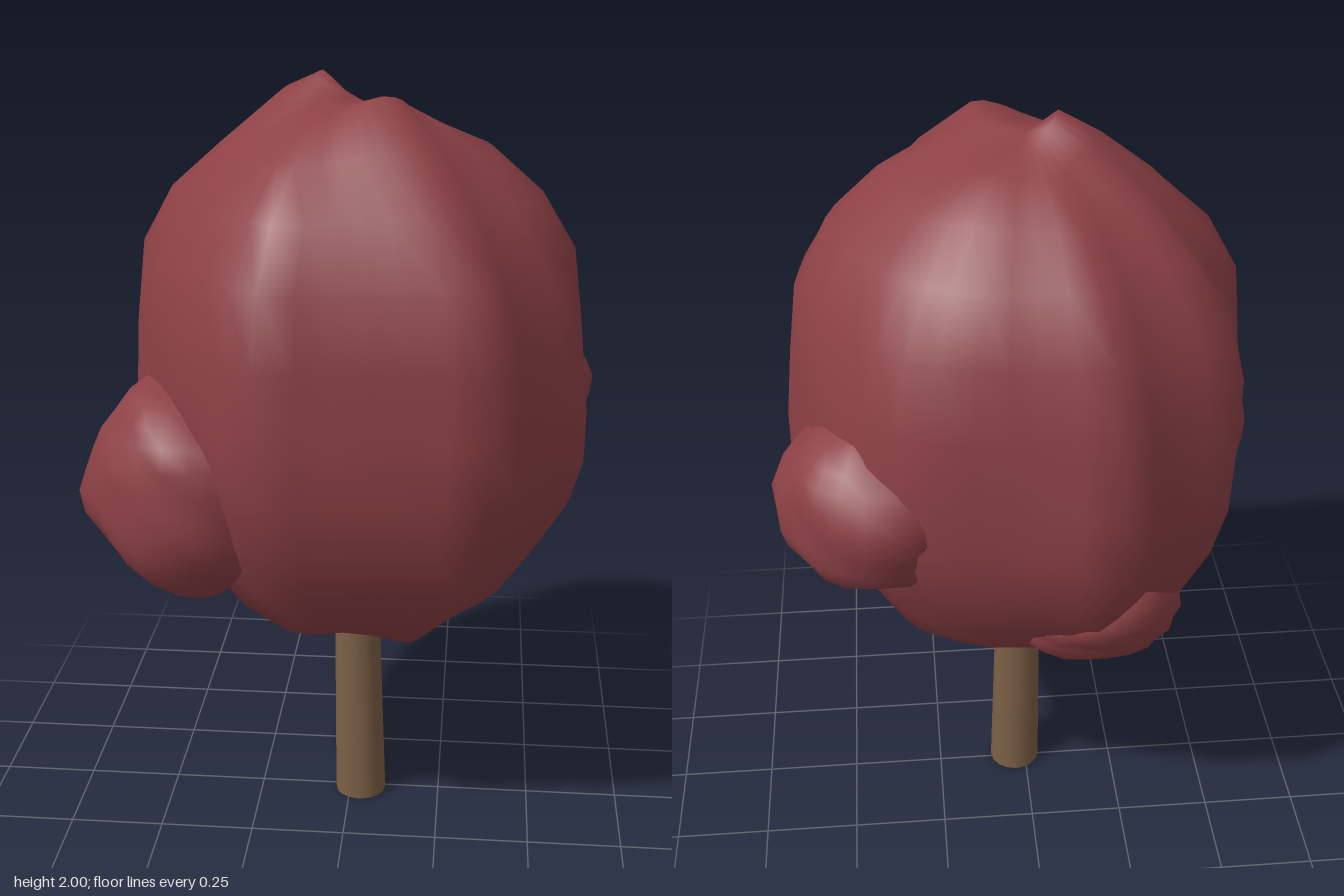
import * as THREE from 'three';
import { mergeVertices } from 'three/addons/utils/BufferGeometryUtils.js';

// smooth repeatable bumpiness, about -1..1
const bumps = (x, y, z, f) =>
  (Math.sin(f * x + 1.3 * f * y + 0.7) + Math.sin(f * 1.1 * y - f * z + 2.1) +
   Math.sin(f * 1.2 * z + 0.8 * f * x + 4.2)) / 3;

// move every vertex by a rule, then weld the seam and recompute smooth normals
function sculpt(geometry, rule) {
  geometry.deleteAttribute('uv');
  geometry.deleteAttribute('normal');
  const welded = mergeVertices(geometry, 1e-4);
  const pos = welded.attributes.position;
  const v = new THREE.Vector3();
  for (let i = 0; i < pos.count; i++) {
    v.fromBufferAttribute(pos, i);
    rule(v);
    pos.setXYZ(i, v.x, v.y, v.z);
  }
  welded.computeVertexNormals();
  return welded;
}

export function createModel() {
  const group = new THREE.Group();
  const leaves = new THREE.MeshStandardMaterial({ color: 0x8c4045 });
  const bark = new THREE.MeshStandardMaterial({ color: 0x7b5f45 });
  const add = (name, geometry, material) => {
    const mesh = new THREE.Mesh(geometry, material);
    mesh.name = name;
    group.add(mesh);
    return mesh;
  };

  // trunk: slightly tapered and leaning
  const trunk = new THREE.CylinderGeometry(0.057, 0.07, 0.8, 16);
  trunk.translate(0, 0.4, 0);
  const tp = trunk.attributes.position;
  for (let i = 0; i < tp.count; i++) tp.setX(i, tp.getX(i) + 0.03 - 0.02 * tp.getY(i));
  trunk.translate(0, 0, 0.01);
  add('trunk', trunk, bark);

  // crown: turned profile [relative radius, height], pushed in and out around the axis
  const profile = [[0, 0.55], [0.24, 0.555], [0.47, 0.61], [0.66, 0.69], [0.81, 0.8], [0.93, 0.94],
    [0.99, 1.08], [1, 1.22], [0.985, 1.4], [0.92, 1.58], [0.77, 1.72], [0.57, 1.83], [0.31, 1.89], [0.14, 1.9], [0, 1.9]]
    .map(([r, y]) => new THREE.Vector2(r, y));
  const reach = [0.55, 0.56, 0.64, 0.585, 0.635, 0.61, 0.58, 0.575, 0.57, 0.55,
    0.54, 0.6, 0.545, 0.6, 0.55, 0.575, 0.54, 0.545, 0.56, 0.6];
  const peaks = [[-0.1, -0.03, 0.11, 0.1], [0.1, 0.18, 0.08, 0.13], [0.1, -0.2, 0.02, 0.1]]; // x, z, height, width
  add('crown', sculpt(new THREE.LatheGeometry(profile, 40), (v) => {
    const turn = (Math.atan2(v.x, v.z) / (2 * Math.PI) + 1) * 20;
    const k = Math.floor(turn + 1e-6), t = turn - k;
    const r = THREE.MathUtils.lerp(reach[k % 20], reach[(k + 1) % 20], t);
    const n = 1 + 0.03 * bumps(v.x, v.y, v.z, 6) + 0.02 * bumps(v.x, v.y, v.z, 13) - 0.015;
    v.x *= r * n;
    v.z *= r * n;
    if (v.y > 1.5) {
      for (const [x, z, h, w] of peaks) {
        v.y += h * Math.exp(-((v.x - x) ** 2 + (v.z - z) ** 2) / (w * w));
      }
    } else if (v.y < 0.8) {
      v.y += 0.03 * bumps(v.x, 0, v.z, 16);
    }
  }), leaves);

  // smaller leaf clumps: name, centre, radii
  const clumps = [
    ['frontClump', [-0.375, 1.02, 0.25], [0.26, 0.285, 0.26]],
    ['sideClump', [0.38, 1.12, -0.25], [0.25, 0.225, 0.25]],
    ['lowerBackClump', [-0.15, 0.78, -0.21], [0.24, 0.16, 0.24]],
  ];
  for (const [name, centre, radii] of clumps) {
    const [sx, sy, sz] = radii;
    const clump = sculpt(new THREE.SphereGeometry(1, 22, 16), (v) => {
      v.multiplyScalar(1 + 0.06 * bumps(v.x + centre[0], v.y, v.z, 4) + 0.05 * bumps(v.x, v.y + centre[2], v.z, 7));
      v.set(v.x * sx, v.y * sy, v.z * sz);
    });
    add(name, clump, leaves).position.set(...centre);
  }
  return group;
}
